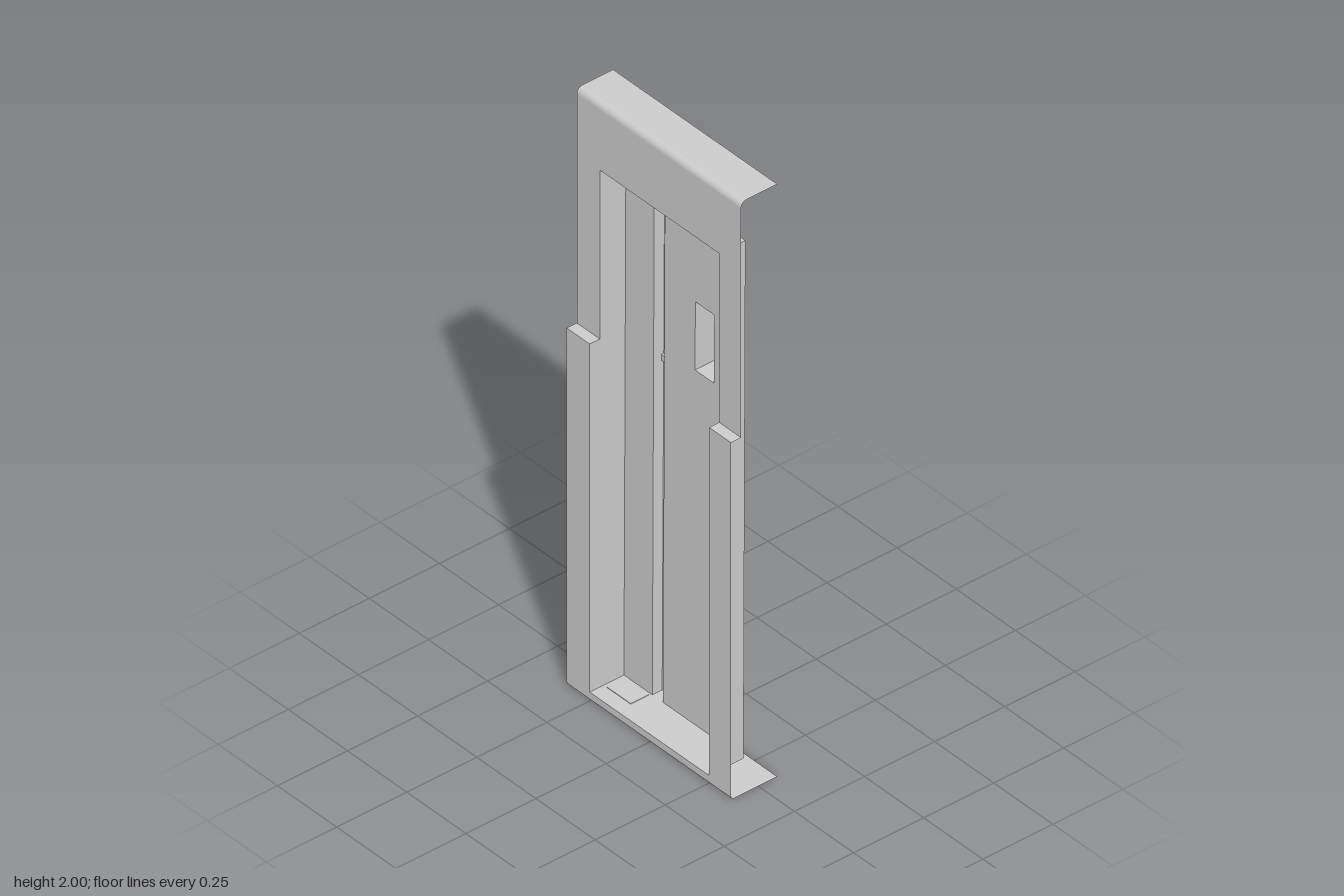
import * as THREE from 'three';

const HALF = 0.347, LEFT = 0.255, RIGHT = -0.25;      // plate half width, opening sides
const UPPER = 0.061, LOWER = 0.097, STEP = 1.205;     // plate depths and step height
const TOP = 1.775, BOTTOM = 0.03, BACK = -0.068;      // opening ends, flange depth
const RIB = [-0.13, -0.085];                          // sides of the rib
const panelZ = y => -0.025 - 0.004 * y;               // the pocket's back leans slightly
const ribZ = y => -0.06 - 0.005 * y;

export function createModel() {
  const group = new THREE.Group();
  const material = new THREE.MeshStandardMaterial({ color: 0xcccccc, side: THREE.DoubleSide });

  function add(name, geometry) {
    geometry.computeVertexNormals();
    const mesh = new THREE.Mesh(geometry, material);
    mesh.name = name;
    group.add(mesh);
  }

  // A thin sheet: a flat outline (with optional hole) placed in space by a rule
  function sheet(name, outline, place, hole) {
    const shape = new THREE.Shape(outline.map(p => new THREE.Vector2(...p)));
    if (hole) shape.holes.push(new THREE.Path(hole.map(p => new THREE.Vector2(...p))));
    const geometry = new THREE.ShapeGeometry(shape);
    const pos = geometry.attributes.position;
    for (let i = 0; i < pos.count; i++) pos.setXYZ(i, ...place(pos.getX(i), pos.getY(i)));
    add(name, geometry);
  }
  const rect = (a, b, c, d) => [[a, c], [b, c], [b, d], [a, d]];

  // A bent flange: a profile of [z, y] points swept across the width
  function flange(name, profile) {
    const geometry = new THREE.PlaneGeometry(2 * HALF, 1, 1, profile.length - 1);
    const pos = geometry.attributes.position;
    for (let i = 0; i < pos.count; i++) {
      const [z, y] = profile[Math.floor(i / 2)];
      pos.setXYZ(i, pos.getX(i), y, z);
    }
    add(name, geometry);
  }
  function bend(z, y, radius, direction) {
    const points = [];
    for (let i = 0; i <= 6; i++) {
      const a = i / 6 * Math.PI / 2;
      points.push([z - radius + radius * Math.cos(a), y + direction * radius * (Math.sin(a) - 1)]);
    }
    return points;
  }

  // Front plate, set back above the step
  sheet('upperPlate', [[-HALF, STEP], [RIGHT, STEP], [RIGHT, TOP], [LEFT, TOP], [LEFT, STEP],
    [HALF, STEP], [HALF, 1.98], [-HALF, 1.98]], (x, y) => [x, y, UPPER]);
  sheet('lowerPlate', [[-HALF, STEP], [-HALF, 0.01], [HALF, 0.01], [HALF, STEP],
    [LEFT, STEP], [LEFT, BOTTOM], [RIGHT, BOTTOM], [RIGHT, STEP]], (x, y) => [x, y, LOWER]);
  for (const [a, b] of [[-HALF, RIGHT], [LEFT, HALF]])
    sheet('plateStep', rect(a, b, UPPER, LOWER), (x, z) => [x, STEP, z]);

  // Top and bottom flanges
  flange('topFlange', [...bend(UPPER, 2, 0.02, 1), [BACK, 2]]);
  flange('bottomFlange', [...bend(LOWER, 0, 0.01, -1), [BACK, 0]]);

  // Side walls of the pocket
  const wall = [[BOTTOM, LOWER], [STEP, LOWER], [STEP, UPPER], [TOP, UPPER],
    [TOP, panelZ(TOP)], [BOTTOM, panelZ(BOTTOM)]];
  sheet('leftWall', wall, (y, z) => [LEFT, y, z]);
  sheet('rightWall', wall, (y, z) => [RIGHT, y, z]);

  // Back of the pocket: two panels with a rib pressed out between them
  const hand = { x0: 0.045, x1: 0.125, y0: 1.222, y1: 1.452, z: -0.1 };
  const handle = rect(hand.x0, hand.x1, hand.y0, hand.y1);
  sheet('widePanel', rect(RIB[1], LEFT, BOTTOM, TOP), (x, y) => [x, y, panelZ(y)], handle);
  sheet('narrowPanel', rect(RIGHT, RIB[0], BOTTOM, TOP), (x, y) => [x, y, panelZ(y)]);
  sheet('ribBack', rect(...RIB, BOTTOM, TOP), (x, y) => [x, y, ribZ(y)]);
  for (const x of RIB)
    sheet('ribSide', [[BOTTOM, panelZ(BOTTOM)], [TOP, panelZ(TOP)], [TOP, ribZ(TOP)],
      [BOTTOM, ribZ(BOTTOM)]], (y, z) => [x, y, z]);

  // Ends of the pocket, each with a thin inset beside the rib
  for (const [name, y, front] of [['pocketTop', TOP, UPPER], ['pocketFloor', BOTTOM, LOWER]]) {
    sheet(name, [[RIGHT, front], [LEFT, front], [LEFT, panelZ(y)], [RIB[1], panelZ(y)],
      [RIB[1], ribZ(y)], [RIB[0], ribZ(y)], [RIB[0], panelZ(y)], [RIGHT, panelZ(y)]],
      (x, z) => [x, y, z]);
    const inset = new THREE.BoxGeometry(0.1, 0.004, 0.065);
    inset.translate(-0.185, y, 0.015);
    add('endInset', inset);
  }

  // Handle recess pressed through the panel
  sheet('handleBack', handle, (x, y) => [x, y, hand.z]);
  for (const x of [hand.x0, hand.x1])
    sheet('handleSide', [[hand.y0, panelZ(hand.y0)], [hand.y1, panelZ(hand.y1)],
      [hand.y1, hand.z], [hand.y0, hand.z]], (y, z) => [x, y, z]);
  for (const y of [hand.y0, hand.y1])
    sheet('handleEnd', rect(hand.x0, hand.x1, hand.z, panelZ(y)), (x, z) => [x, y, z]);

  // Small catches inside the rib
  for (const x of [-0.122, -0.095]) {
    const catchBlock = new THREE.BoxGeometry(0.014, 0.02, 0.01);
    catchBlock.translate(x, 1.155, ribZ(1.155) + 0.004);
    add('ribCatch', catchBlock);
  }
  return group;
}
